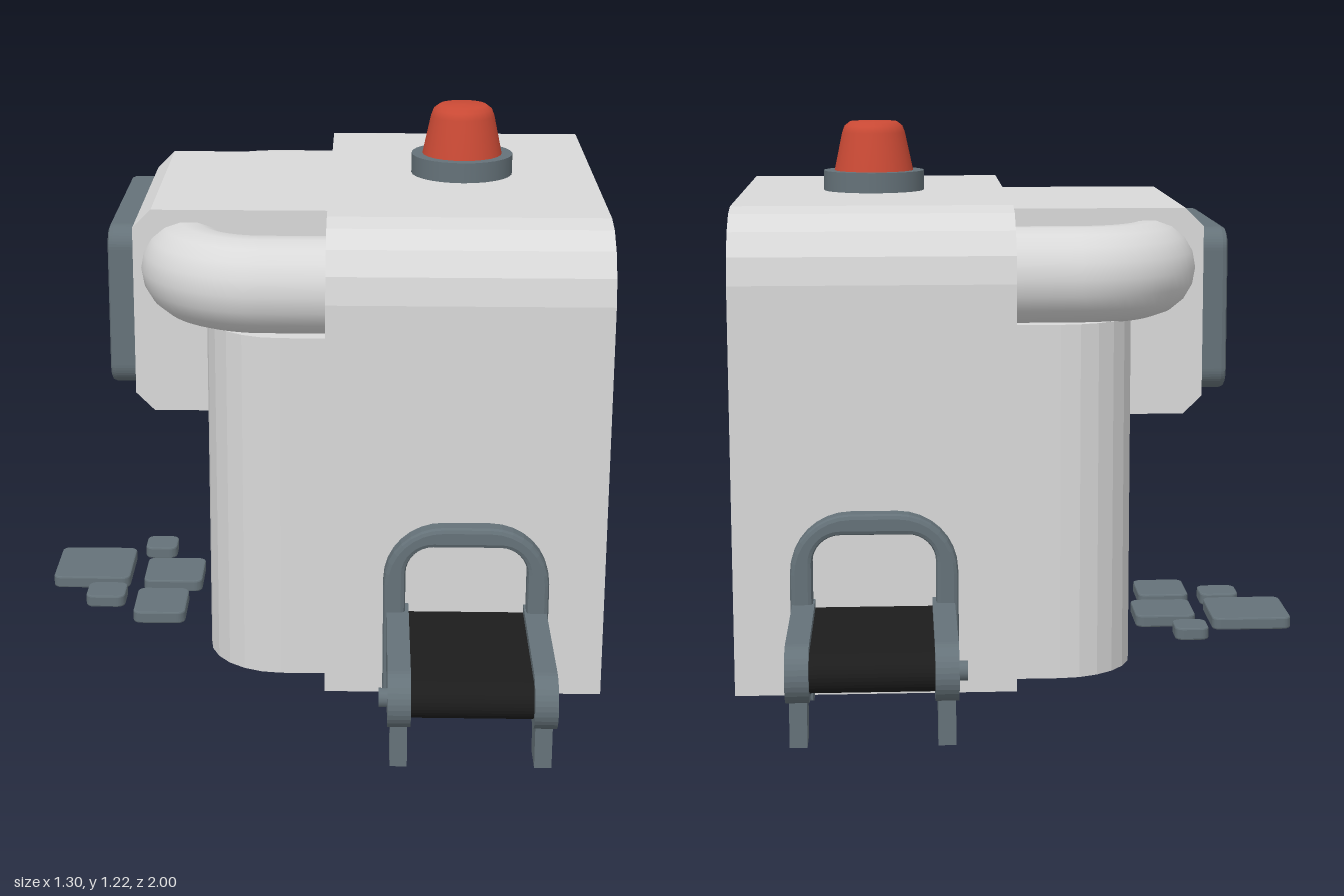
import * as THREE from 'three';

const mat = (name, color, side = THREE.FrontSide) => new THREE.MeshStandardMaterial({ name, color, side });
const BASE = 0.005; // height of the machine's lower edge

// Rounded rectangle with centre (cx, cy)
function roundRect(target, cx, cy, w, h, r) {
  const x0 = cx - w / 2, x1 = cx + w / 2, y0 = cy - h / 2, y1 = cy + h / 2;
  target.moveTo(x0 + r, y0).lineTo(x1 - r, y0);
  target.absarc(x1 - r, y0 + r, r, -Math.PI / 2, 0, false);
  target.absarc(x1 - r, y1 - r, r, 0, Math.PI / 2, false);
  target.absarc(x0 + r, y1 - r, r, Math.PI / 2, Math.PI, false);
  target.absarc(x0 + r, y0 + r, r, Math.PI, Math.PI * 1.5, false);
  return target;
}

// Extrude from a to b along z, with an optional bevel kept inside the outline
function extrude(shape, a, b, curveSegments = 5, bevel = 0) {
  return new THREE.ExtrudeGeometry(shape, {
    depth: b - a - 2 * bevel, curveSegments, bevelEnabled: bevel > 0,
    bevelSize: bevel, bevelThickness: bevel, bevelOffset: -bevel, bevelSegments: 2,
  }).translate(0, 0, a + bevel);
}
// Shape (-z, y) extruded along x
const extrudeX = (...args) => extrude(...args).rotateY(Math.PI / 2);
// Shape (x, -z) extruded along y
const extrudeY = (...args) => extrude(...args).rotateX(-Math.PI / 2);

// Remove the faces lying on the lower edge, leaving a hollow shell
function openBottom(geometry) {
  const p = geometry.attributes.position, kept = [];
  for (let i = 0; i < p.count; i += 3) {
    if (Math.max(p.getY(i), p.getY(i + 1), p.getY(i + 2)) < BASE + 0.001) continue;
    for (let k = i; k < i + 3; k++) kept.push(p.getX(k), p.getY(k), p.getZ(k));
  }
  const out = new THREE.BufferGeometry();
  out.setAttribute('position', new THREE.Float32BufferAttribute(kept, 3));
  out.computeVertexNormals();
  return out;
}

const box = (x0, x1, y0, y1, z0, z1) =>
  new THREE.BoxGeometry(x1 - x0, y1 - y0, Math.abs(z1 - z0))
    .translate((x0 + x1) / 2, (y0 + y1) / 2, (z0 + z1) / 2);

export function createModel() {
  const model = new THREE.Group();
  model.name = 'scannerMachine';
  const grey = mat('casingGrey', 0xd9d9d9, THREE.DoubleSide);
  const slate = mat('slateTrim', 0x657279);
  const black = mat('beltBlack', 0x1c1c1c);
  const red = mat('lampRed', 0xcb4a35);

  const add = (name, geometry, material, parent = model) => {
    const mesh = new THREE.Mesh(geometry, material);
    mesh.name = name;
    parent.add(mesh);
    return mesh;
  };

  // Main casing, rounded along its two upper edges and hollow below
  const casing = new THREE.Shape();
  casing.moveTo(-0.6, BASE).lineTo(0.6, BASE).lineTo(0.6, 0.9);
  casing.absarc(0.445, 0.9, 0.155, 0, Math.PI / 2, false);
  casing.absarc(-0.445, 0.9, 0.155, Math.PI / 2, Math.PI, false);
  casing.closePath();
  add('mainCasing', openBottom(extrudeX(casing, 0.035, 0.648, 2)), grey);

  // Pedestal with rounded corners and a concave bay in the middle
  const pedestal = new THREE.Shape();
  pedestal.moveTo(0.035, 0.51).lineTo(-0.065, 0.51);
  pedestal.absarc(-0.065, 0.34, 0.17, Math.PI / 2, Math.PI, false);
  pedestal.lineTo(-0.235, 0.21);
  pedestal.absarc(-0.235, 0, 0.21, Math.PI / 2, -Math.PI / 2, true);
  pedestal.lineTo(-0.235, -0.34);
  pedestal.absarc(-0.065, -0.34, 0.17, Math.PI, Math.PI * 1.5, false);
  pedestal.lineTo(0.035, -0.51);
  add('pedestal', extrudeY(pedestal, BASE, 0.8, 3), grey);

  // Console block with chamfered edges towards the screen
  const consoleShape = new THREE.Shape([
    [0.035, 0.565], [0.035, 1.035], [-0.36, 1.035], [-0.402, 0.993], [-0.402, 0.607], [-0.36, 0.565],
  ].map(([x, y]) => new THREE.Vector2(x, y)));
  add('consoleBlock', extrude(consoleShape, -0.31, 0.31), grey);

  // Screen frame, seated in the console, and display
  const frame = roundRect(new THREE.Shape(), 0, 0.8, 0.575, 0.372, 0.05);
  frame.holes.push(roundRect(new THREE.Path(), 0, 0.8, 0.495, 0.292, 0.035));
  add('screenFrame', extrudeX(frame, -0.462, -0.39, 6, 0.012), slate);
  const display = roundRect(new THREE.Shape(), 0, 0.8, 0.52, 0.317, 0.04);
  add('screenDisplay', extrudeX(display, -0.446, -0.438, 6), black);

  // Curved side pipes joining casing and console
  for (const s of [1, -1]) {
    const path = new THREE.CurvePath();
    const v = (x, z) => new THREE.Vector3(x, 0.901, s * z);
    const k = 0.5523 * 0.175;
    path.add(new THREE.LineCurve3(v(0.04, 0.443), v(-0.105, 0.443)));
    path.add(new THREE.CubicBezierCurve3(v(-0.105, 0.443), v(-0.105 - k, 0.443), v(-0.28, 0.268 + k), v(-0.28, 0.268)));
    add(s > 0 ? 'frontPipe' : 'backPipe', new THREE.TubeGeometry(path, 20, 0.107, 18), grey);
  }

  // Warning lamp
  add('lampBase', new THREE.CylinderGeometry(0.118, 0.118, 0.047, 28).translate(0.342, 1.078, 0), slate);
  const lamp = [[0.093, 1.1], [0.074, 1.19], [0.068, 1.206], [0.055, 1.216], [0, 1.218]];
  add('lampDome', new THREE.LatheGeometry(lamp.map(([r, y]) => new THREE.Vector2(r, y)), 24).translate(0.342, 0, 0), red);

  // Conveyor and arch at each end
  for (const s of [1, -1]) {
    const conveyor = new THREE.Group();
    conveyor.name = s > 0 ? 'frontConveyor' : 'backConveyor';
    conveyor.position.x = 0.003;
    model.add(conveyor);

    const arch = new THREE.Shape();
    arch.moveTo(0.16, BASE).lineTo(0.16, 0.285);
    arch.absarc(0.29, 0.285, 0.13, Math.PI, Math.PI / 2, true);
    arch.absarc(0.39, 0.285, 0.13, Math.PI / 2, 0, true);
    arch.lineTo(0.52, BASE).lineTo(0.472, BASE).lineTo(0.472, 0.31);
    arch.absarc(0.412, 0.31, 0.06, 0, Math.PI / 2, false);
    arch.absarc(0.268, 0.31, 0.06, Math.PI / 2, Math.PI, false);
    arch.lineTo(0.208, BASE);
    add('arch', s > 0 ? extrude(arch, 0.6, 0.65, 4, 0.01) : extrude(arch, -0.65, -0.6, 4, 0.01), slate, conveyor);

    // Strip from the casing outwards with a round outer end
    const strip = (r, end) => {
      const shape = new THREE.Shape();
      shape.moveTo(-s * 0.6, 0.16 - r).lineTo(-s * (end - r), 0.16 - r);
      shape.absarc(-s * (end - r), 0.16, r, -Math.PI / 2, Math.PI / 2, s > 0);
      shape.lineTo(-s * 0.6, 0.16 + r);
      return shape;
    };
    // The belt is a folded loop, open towards the casing
    const belt = strip(0.041, 0.98);
    belt.lineTo(-s * 0.6, 0.16 + 0.029).lineTo(-s * 0.939, 0.16 + 0.029);
    belt.absarc(-s * 0.939, 0.16, 0.029, Math.PI / 2, -Math.PI / 2, s < 0);
    belt.lineTo(-s * 0.6, 0.16 - 0.029);
    add('belt', extrudeX(belt, 0.21, 0.475, 8), black, conveyor);
    for (const x of [0.168, 0.468]) {
      add('sideRail', extrudeX(strip(0.06, 1), x, x + 0.048, 8), slate, conveyor);
      add('foot', box(x + 0.006, x + 0.042, BASE, 0.11, s * 0.865, s * 0.945), slate, conveyor);
    }
    add('rollerKnob', new THREE.CylinderGeometry(0.02, 0.02, 0.02, 14)
      .rotateZ(Math.PI / 2).translate(0.16, 0.16, s * 0.94), slate, conveyor);
  }

  // Floor tiles in front of the screen: x, z, width, depth, underside
  const tiles = [
    [-0.555, -0.053, 0.19, 0.195, 0.005], [-0.508, 0.115, 0.095, 0.09, 0.005], [-0.37, 0.165, 0.125, 0.15, 0],
    [-0.353, -0.025, 0.145, 0.15, 0], [-0.4, -0.19, 0.08, 0.085, 0.005],
  ];
  for (const [x, z, w, d, y] of tiles) {
    add('floorTile', extrudeY(roundRect(new THREE.Shape(), x, -z, w, d, 0.02), y, y + 0.029, 4, 0.004), slate);
  }
  return model;
}
